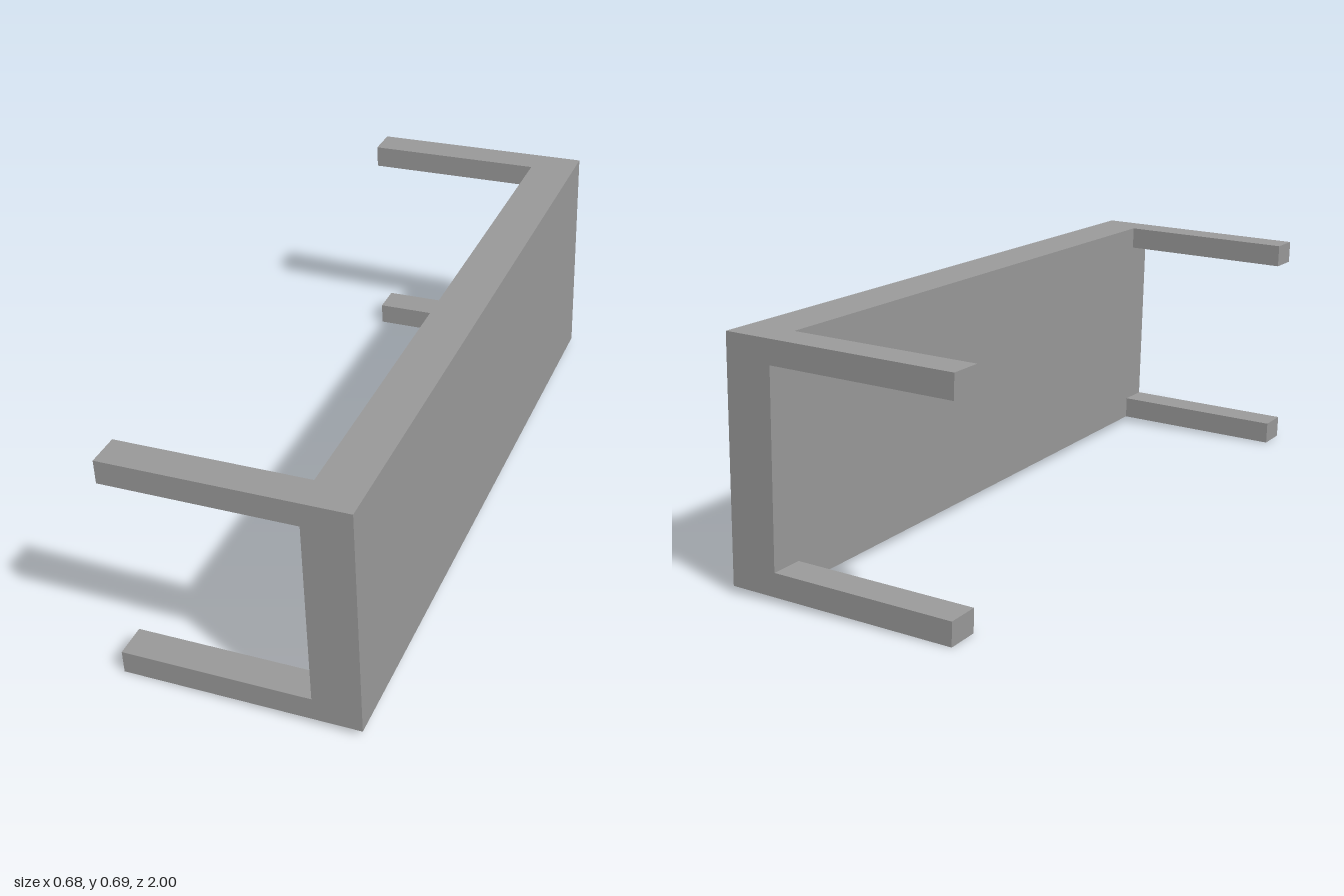
import * as THREE from 'three';

// A four-legged table lying on its side, tilted slightly.
export function createModel() {
  const gray = new THREE.MeshStandardMaterial({ color: 0x999999 });
  gray.name = 'gray';

  const width = 0.663, height = 0.667, length = 2;
  const topThickness = 0.134, legHeight = 0.066, legDepth = 0.095;

  const table = new THREE.Group();
  table.name = 'table';

  const addBox = (name, size, position) => {
    const mesh = new THREE.Mesh(new THREE.BoxGeometry(...size), gray);
    mesh.name = name;
    mesh.position.set(...position);
    table.add(mesh);
  };

  // Thick table top, standing on edge
  addBox('tableTop', [topThickness, height, length], [(width - topThickness) / 2, 0, 0]);

  // Four legs, flush with the corners of the top
  const legLength = width - topThickness;
  for (const [side, y] of [['upper', 1], ['lower', -1]]) {
    for (const [end, z] of [['Front', 1], ['Back', -1]]) {
      addBox(`${side}${end}Leg`, [legLength, legHeight, legDepth],
        [-topThickness / 2, y * (height - legHeight) / 2, z * (length - legDepth) / 2]);
    }
  }

  // Tilt, then rest the lowest corner on the ground
  const tilt = THREE.MathUtils.degToRad(1.7);
  table.rotation.z = tilt;
  table.position.y = (width * Math.sin(tilt) + height * Math.cos(tilt)) / 2;

  const model = new THREE.Group();
  model.name = 'tippedTable';
  model.add(table);
  return model;
}
